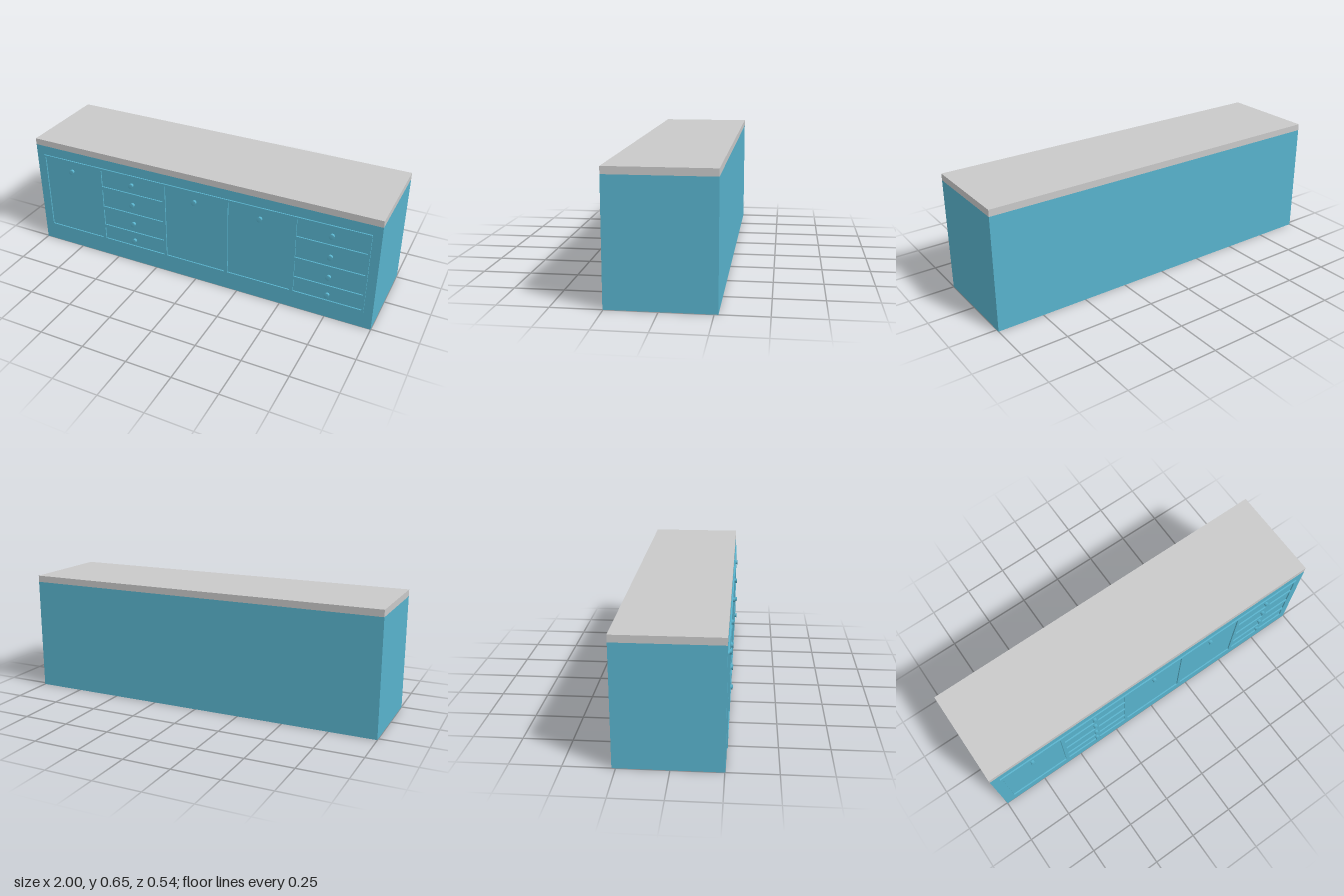
import * as THREE from 'three';

const FRONT = 0.253, BACK = -0.269, FACE = 0.26;
const DEPTH = FRONT - BACK, MID_Z = (FRONT + BACK) / 2;

export function createModel() {
  const group = new THREE.Group();
  const paint = new THREE.MeshStandardMaterial({ color: 0x58b3cd });
  paint.name = 'blue paint';
  const stone = new THREE.MeshStandardMaterial({ color: 0xc9c9c9 });
  stone.name = 'grey worktop';

  const add = (name, geometry, material, x, y, z) => {
    const mesh = new THREE.Mesh(geometry, material);
    mesh.name = name;
    mesh.position.set(x, y, z);
    group.add(mesh);
    return mesh;
  };

  // Carcass and worktop share the same footprint
  add('cabinetBody', new THREE.BoxGeometry(2, 0.617, DEPTH), paint, 0, 0.3085, MID_Z);
  add('worktop', new THREE.BoxGeometry(2, 0.036, DEPTH), stone, 0, 0.635, MID_Z);

  // Openings as [left, right, bottom, top]
  const doors = [[-0.942, -0.594], [-0.176, 0.176], [0.195, 0.552]];
  const drawerColumns = [[-0.574, -0.192], [0.572, 0.942]];
  const drawerRows = [[0.45, 0.55], [0.323, 0.43], [0.203, 0.302], [0.11, 0.183]];
  const openings = doors.map(([l, r]) => [l, r, 0.11, 0.55]);
  for (const [l, r] of drawerColumns) {
    for (const [b, t] of drawerRows) openings.push([l, r, b, t]);
  }

  // Raised front frame, leaving the door and drawer panels recessed
  const rectangle = (Type, l, r, b, t) => {
    const path = new Type();
    path.moveTo(l, b);
    path.lineTo(r, b);
    path.lineTo(r, t);
    path.lineTo(l, t);
    path.closePath();
    return path;
  };
  const frame = rectangle(THREE.Shape, -0.953, 0.953, 0.097, 0.563);
  frame.holes = openings.map((o) => rectangle(THREE.Path, ...o));
  add('frontFrame', new THREE.ExtrudeGeometry(frame, { depth: FACE - FRONT, bevelEnabled: false }),
    paint, 0, 0, FRONT);

  // Turned knobs with a flared front lip
  const profile = [[0.012, 0], [0.012, 0.012], [0.0145, 0.0155], [0.0145, 0.017], [0, 0.017]]
    .map(([r, h]) => new THREE.Vector2(r, h));
  const knobGeometry = new THREE.LatheGeometry(profile, 20);
  knobGeometry.rotateX(Math.PI / 2);
  const addKnob = (name, x, y) => add(name, knobGeometry, paint, x, y, FRONT);

  for (const [l, r] of doors) addKnob('doorKnob', (l + r) / 2, 0.497);
  for (const [l, r] of drawerColumns) {
    for (const y of [0.503, 0.379, 0.256, 0.145]) addKnob('drawerKnob', (l + r) / 2, y);
  }

  return group;
}
